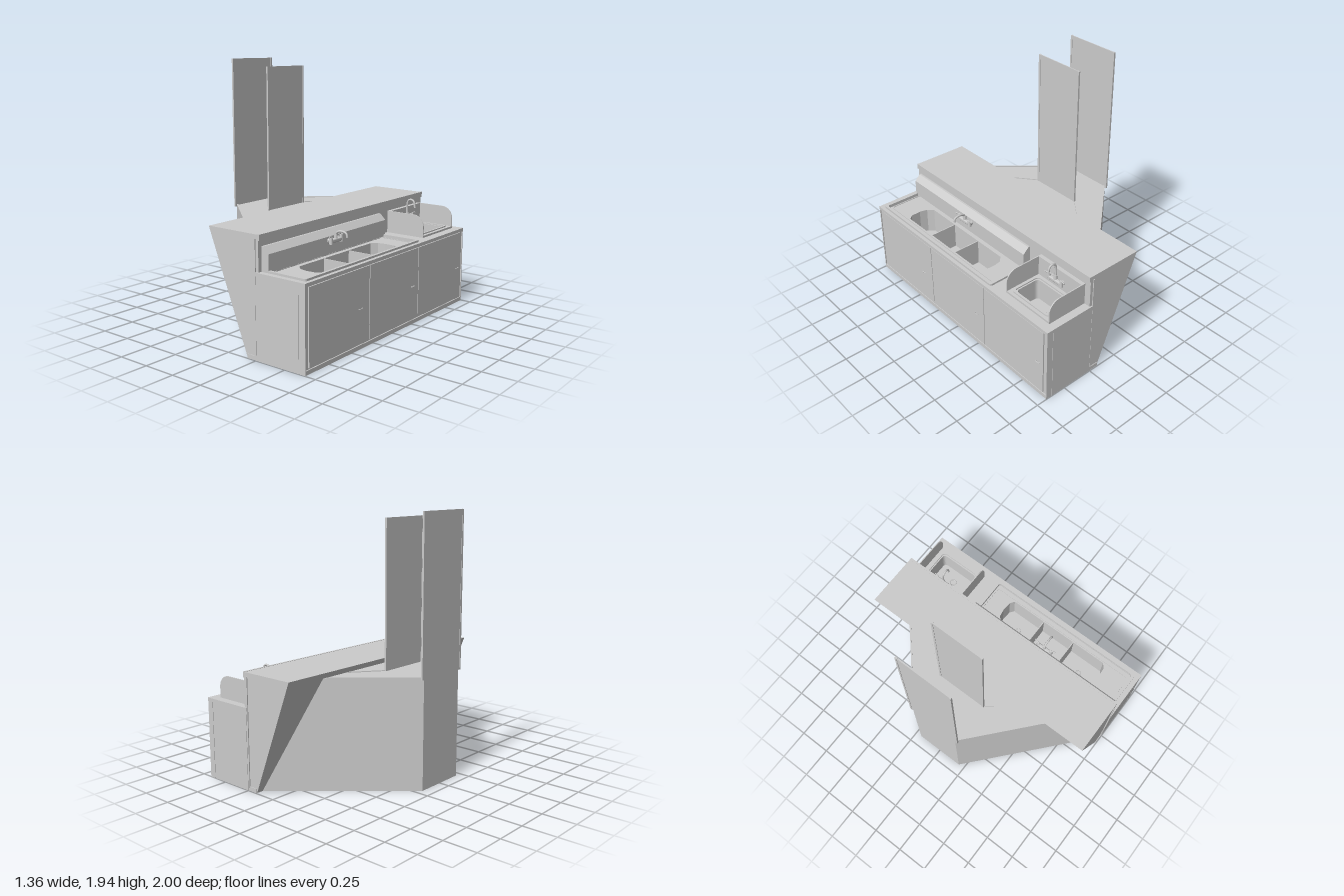
import * as THREE from 'three';
import { RoundedBoxGeometry } from 'three/addons/geometries/RoundedBoxGeometry.js';

const mat = new THREE.MeshStandardMaterial({ color: 0xcccccc, side: THREE.DoubleSide });

export function createModel() {
  const root = new THREE.Group();

  const add = (name, geo, parent = root) => {
    const m = new THREE.Mesh(geo, mat);
    m.name = name;
    parent.add(m);
    return m;
  };
  // Box given by its limits on each axis
  const box = (name, x0, x1, y0, y1, z0, z1, parent) =>
    add(name, new THREE.BoxGeometry(x1 - x0, y1 - y0, z1 - z0), parent)
      .position.set((x0 + x1) / 2, (y0 + y1) / 2, (z0 + z1) / 2);
  const poly = (pts) => new THREE.Shape(pts.map((p) => new THREE.Vector2(...p)));
  // Side profile (x, y) pulled along z
  const alongZ = (name, shape, z0, z1) =>
    add(name, new THREE.ExtrudeGeometry(shape, { depth: z1 - z0, bevelEnabled: false, curveSegments: 10 })
      .translate(0, 0, z0));
  // Plan outline (x, -z) pulled upward
  const upward = (name, shape, holes, y0, y1) => {
    const s = shape.clone();
    s.holes = holes;
    return add(name, new THREE.ExtrudeGeometry(s, { depth: y1 - y0, bevelEnabled: false, curveSegments: 6 })
      .rotateX(-Math.PI / 2).translate(0, y0, 0));
  };
  // Rounded plan rectangle
  const plan = (x0, x1, z0, z1, r = 0) => {
    const s = new THREE.Shape(), a = -z1, b = -z0;
    if (!r) return poly([[x0, a], [x1, a], [x1, b], [x0, b]]);
    s.moveTo(x0 + r, a).lineTo(x1 - r, a).quadraticCurveTo(x1, a, x1, a + r);
    s.lineTo(x1, b - r).quadraticCurveTo(x1, b, x1 - r, b).lineTo(x0 + r, b);
    s.quadraticCurveTo(x0, b, x0, b - r).lineTo(x0, a + r).quadraticCurveTo(x0, a, x0 + r, a);
    return s;
  };
  const tube = (name, pts, r, parent) =>
    add(name, new THREE.TubeGeometry(
      new THREE.CatmullRomCurve3(pts.map((p) => new THREE.Vector3(...p))), 24, r, 8), parent);

  // Bar counter with overhanging slanted back
  alongZ('barCounter', poly([[0.17, 0], [0.25, 0], [0.25, 0.6], [0.275, 0.6], [0.275, 0.85], [-0.17, 0.85]]), -0.99, 0.99);
  box('barFrontLip', 0.268, 0.285, 0.81, 0.852, -0.99, 0.99);

  // Angular rear platform
  upward('rearPlatform', poly([[-0.67, -0.2], [-0.17, -0.64], [0.17, -0.94], [0.17, 0.94], [-0.17, 0.64], [-0.67, 0.2]]),
    [], 0, 0.81);
  for (const s of [-1, 1]) {
    upward('platformEdgeTrim', poly([[-0.67, s * 0.2], [-0.17, s * 0.64], [-0.17, s * 0.625], [-0.66, s * 0.195]]), [], 0.8, 0.817);
    upward('platformInnerTrim', poly([[-0.335, s * 0.2], [-0.17, s * 0.42], [-0.17, s * 0.405]]), [], 0.8, 0.817);
  }

  // Two tall upright panels with edge strips
  for (const [x, top, w] of [[-0.667, 1.94, 0.215], [-0.332, 1.885, 0.2]]) {
    box('uprightPanel', x - 0.004, x + 0.004, 0.8, top, -w, w);
    for (const s of [-1, 1])
      box('panelEdgeStrip', x - 0.007, x + 0.007, 0.8, top, s * w - 0.008, s * w + 0.008);
  }

  // Cabinet, cut through where the basins sit
  const longBasin = poly([[0.36, -0.68], [0.4, -0.72], [0.46, -0.735], [0.54, -0.73], [0.575, -0.7],
    [0.575, 0.17], [0.54, 0.195], [0.46, 0.2], [0.4, 0.19], [0.36, 0.15]]);
  const smallBasin = plan(0.35, 0.55, -0.88, -0.55, 0.03);
  upward('cabinet', plan(0.25, 0.66, -0.995, 0.995), [longBasin, smallBasin], 0, 0.59);
  box('cabinetBase', 0.17, 0.668, 0, 0.03, -0.995, 0.995);
  upward('longBasinFloor', longBasin, [], 0.38, 0.39);
  upward('smallBasinFloor', smallBasin, [], 0.44, 0.45);
  for (const z of [0.12, 0.41]) box('basinDivider', 0.36, 0.575, 0.39, 0.588, z - 0.004, z + 0.004);

  // Counter frame around both sinks
  upward('countertop', plan(0.25, 0.67, -1, 1),
    [plan(0.28, 0.62, -0.36, 0.94, 0.02), smallBasin], 0.575, 0.6);
  upward('longSinkRim', plan(0.3, 0.642, -0.38, 0.96, 0.02), [plan(0.315, 0.622, -0.36, 0.94, 0.02)], 0.585, 0.615);
  upward('longSinkInnerRim', plan(0.32, 0.595, -0.35, 0.93, 0.02), [plan(0.325, 0.585, -0.345, 0.925, 0.02)], 0.585, 0.595);

  // Splash behind the long sink, sloping at the top
  alongZ('longSinkSplash', poly([[0.27, 0.6], [0.335, 0.6], [0.335, 0.725], [0.29, 0.77], [0.27, 0.77]]), -0.38, 0.96);

  // Small sink deck, raised rim and round-cornered side guards
  upward('smallSinkDeck', plan(0.28, 0.6, -0.94, -0.5), [smallBasin], 0.59, 0.615);
  upward('smallSinkRim', plan(0.325, 0.575, -0.905, -0.525, 0.04), [plan(0.338, 0.562, -0.89, -0.54, 0.035)], 0.61, 0.624);
  box('smallSinkSplash', 0.27, 0.305, 0.6, 0.77, -0.94, -0.5);
  const guard = new THREE.Shape();
  guard.moveTo(0.28, 0.6).lineTo(0.6, 0.6).lineTo(0.6, 0.68);
  guard.absarc(0.51, 0.68, 0.09, 0, Math.PI / 2, false).lineTo(0.28, 0.77);
  for (const z of [-0.94, -0.508]) alongZ('sideGuard', guard, z, z + 0.008);

  // Drains
  for (const [y, z, r] of [[0.452, -0.72, 0.026], [0.392, -0.04, 0.02], [0.392, 0.265, 0.02], [0.392, 0.57, 0.02]]) {
    const ring = add('drain', new THREE.TorusGeometry(r, 0.005, 8, 20));
    ring.rotation.x = Math.PI / 2;
    ring.position.set(0.45, y, z);
  }

  // Doors with small pulls
  for (const [z0, z1, hz] of [[0.303, 0.96, 0.41], [-0.327, 0.297, -0.25], [-0.96, -0.333, -0.91]]) {
    box('door', 0.655, 0.669, 0.04, 0.57, z0, z1);
    tube('doorPull', [[0.665, 0.29, hz - 0.02], [0.676, 0.29, hz - 0.015], [0.676, 0.29, hz + 0.015], [0.665, 0.29, hz + 0.02]], 0.003);
  }
  // Corner seams on the cabinet ends
  for (const s of [-1, 1]) {
    box('endSeamRear', 0.24, 0.252, 0, 0.82, s * 0.993 - 0.004, s * 0.993 + 0.004);
    box('endPanel', 0.256, 0.615, 0.0, 0.575, s * 0.994 - 0.004, s * 0.994 + 0.004);
    box('endFrontPost', 0.62, 0.668, 0, 0.575, s * 0.994 - 0.004, s * 0.994 + 0.004);
  }

  // Wall-mounted faucets: bridge body, two lever handles and a spout
  const faucet = (name, x, y, z, spout) => {
    const g = new THREE.Group();
    g.name = name;
    g.position.set(x, y, z);
    root.add(g);
    add('faucetBody', new RoundedBoxGeometry(0.03, 0.03, 0.13, 2, 0.01), g).position.x = 0.022;
    for (const s of [-1, 1]) {
      const flange = add('wallFlange', new THREE.CylinderGeometry(0.018, 0.018, 0.012, 16), g);
      flange.rotation.z = Math.PI / 2;
      flange.position.set(0.006, 0, s * 0.052);
      add('valve', new THREE.CylinderGeometry(0.012, 0.015, 0.05, 12), g).position.set(0.025, 0.005, s * 0.06);
      tube('leverHandle', [[0.025, 0.03, s * 0.055], [0.03, 0.034, s * 0.075], [0.034, 0.032, s * 0.095]], 0.005, g);
    }
    add('spoutCollar', new THREE.CylinderGeometry(0.011, 0.014, 0.04, 12), g).position.set(0.022, 0.025, 0);
    tube('spout', spout, 0.008, g);
  };
  faucet('smallSinkFaucet', 0.305, 0.685, -0.705,
    [[0.022, 0.02, 0], [0.02, 0.1, 0], [0.03, 0.14, 0], [0.055, 0.152, 0], [0.08, 0.14, 0], [0.092, 0.09, 0]]);
  faucet('longSinkFaucet', 0.335, 0.695, 0.275,
    [[0.022, 0.02, 0], [0.028, 0.05, 0], [0.055, 0.066, 0], [0.09, 0.066, 0], [0.115, 0.055, 0], [0.122, 0.03, 0]]);

  return root;
}
